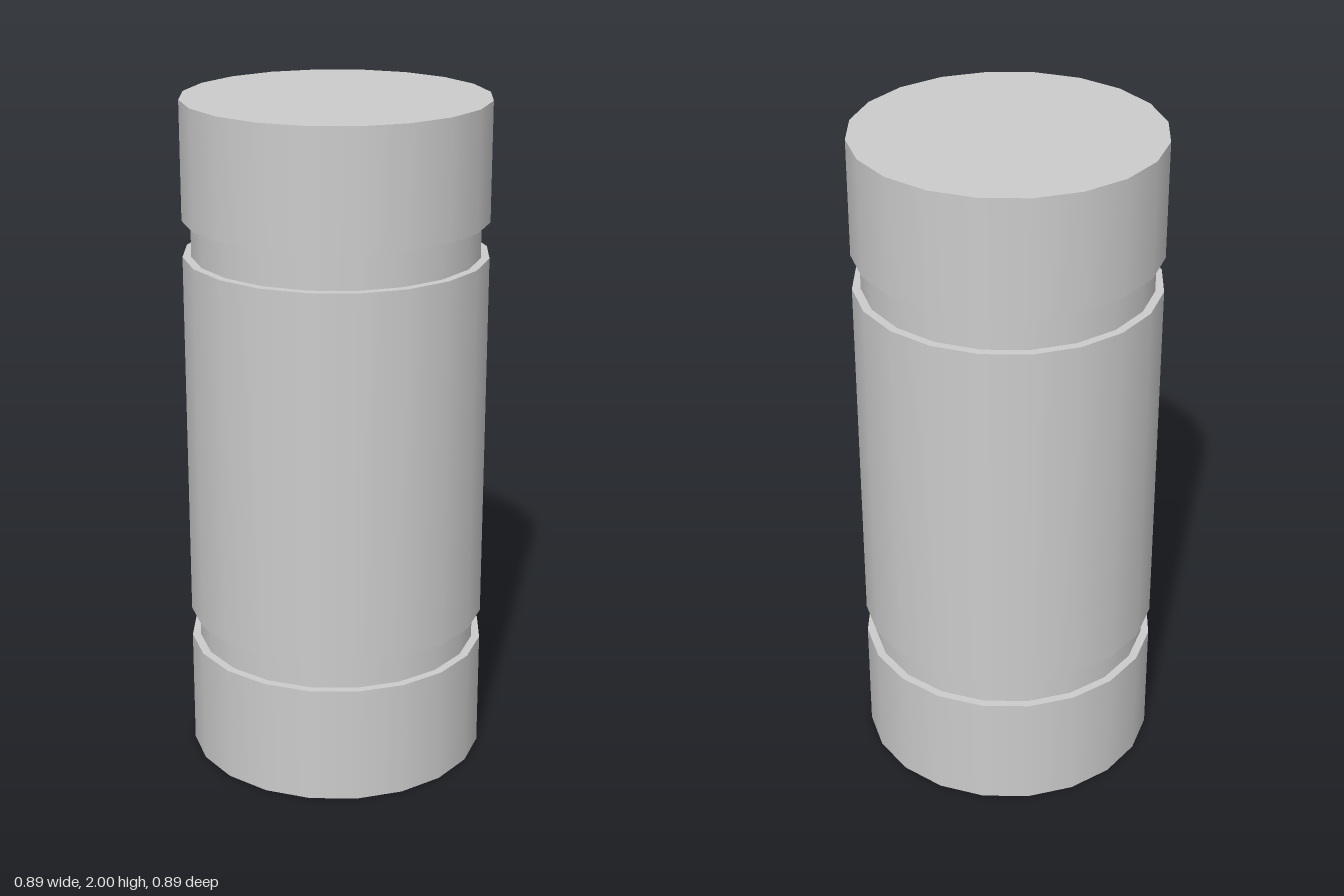
import * as THREE from 'three';

const SIDES = 20;
const OUTER = 0.445;
const GROOVE = 0.42;

export function createModel() {
  const group = new THREE.Group();
  group.name = 'groovedCylinder';
  const material = new THREE.MeshStandardMaterial({ color: 0xcccccc });

  // One cylindrical section between two heights
  function section(name, radius, y0, y1, open) {
    const geometry = new THREE.CylinderGeometry(radius, radius, y1 - y0, SIDES, 1, open);
    const mesh = new THREE.Mesh(geometry, material);
    mesh.name = name;
    mesh.position.y = (y0 + y1) / 2;
    group.add(mesh);
  }

  // Wide closed drums, whose caps form the groove shoulders
  section('bottomDrum', OUTER, 0, 0.353, false);
  section('middleDrum', OUTER, 0.443, 1.548, false);
  section('topDrum', OUTER, 1.654, 2, false);

  // Recessed bands between the drums
  section('lowerGroove', GROOVE, 0.353, 0.443, true);
  section('upperGroove', GROOVE, 1.548, 1.654, true);

  return group;
}
